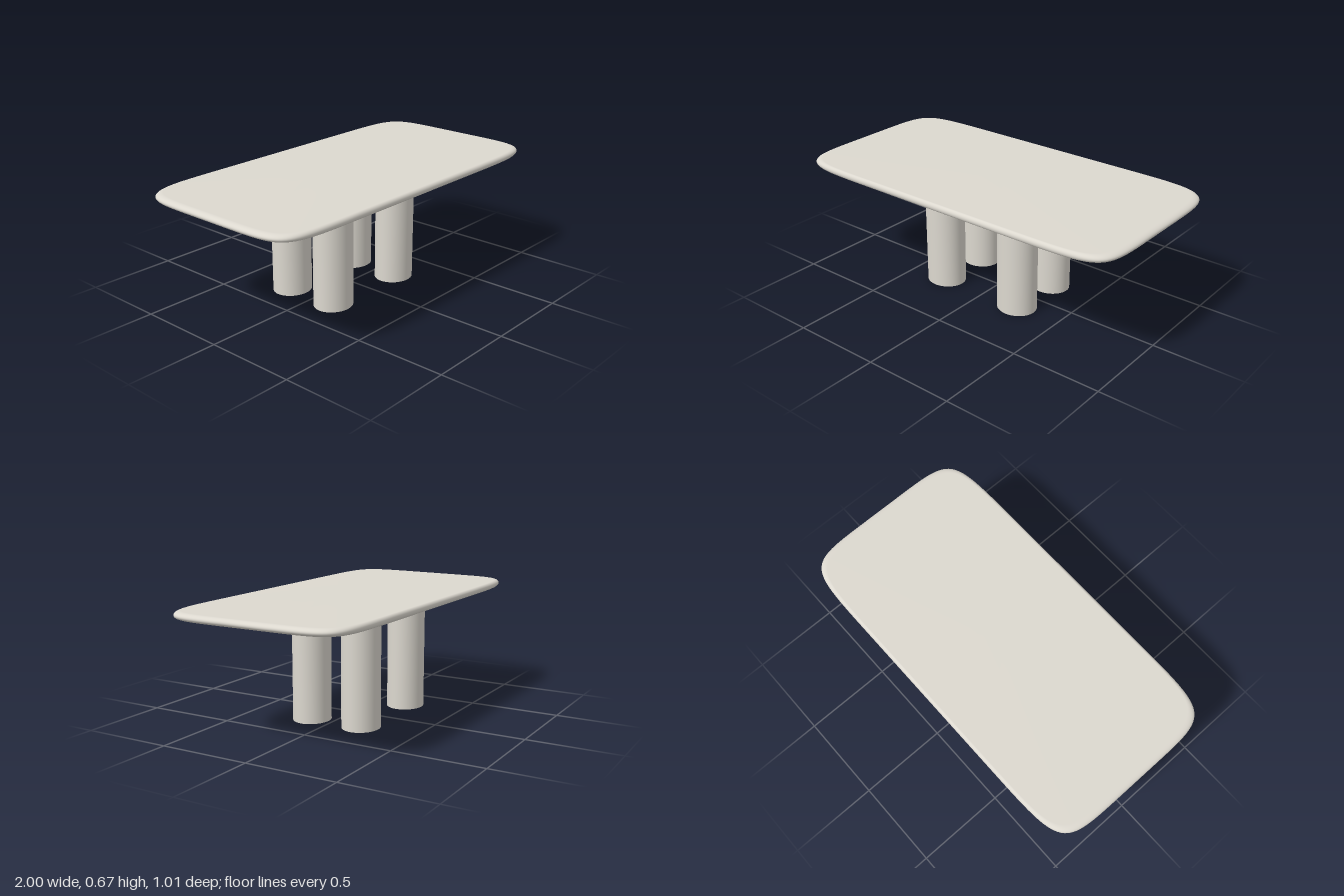
import * as THREE from 'three';

const HALF_X = 1, HALF_Z = 0.505, BOTTOM = 0.63, TOP = 0.67;

// Outline with soft, slightly squared corners, running from +x towards +z
function outline(halfX, halfZ) {
  const cornerX = 0.5, cornerZ = 0.38, steps = 24, points = [];
  [[1, 1], [-1, 1], [-1, -1], [1, -1]].forEach(([sx, sz], k) => {
    for (let i = 0; i <= steps; i++) {
      const t = k % 2 ? 1 - i / steps : i / steps;
      points.push([sx * (halfX - cornerX * t ** 3), sz * (halfZ - cornerZ * (1 - t) ** 3)]);
    }
  });
  return points;
}

// Slab skinned from stacked outlines that shrink around a rounded edge
function slabGeometry() {
  const rings = 14, insetX = 0.035, insetZ = 0.018;
  const position = [], index = [];
  let count = 0;
  for (let r = 0; r <= rings; r++) {
    const angle = -Math.PI / 2 + Math.PI * r / rings;
    const inset = 1 - Math.cos(angle);
    const y = (BOTTOM + TOP) / 2 + Math.sin(angle) * (TOP - BOTTOM) / 2;
    const loop = outline(HALF_X - insetX * inset, HALF_Z - insetZ * inset);
    count = loop.length;
    for (const [x, z] of loop) position.push(x, y, z);
  }
  const centre = position.length / 3;
  position.push(0, BOTTOM, 0, 0, TOP, 0);
  for (let i = 0; i < count; i++) {
    const j = (i + 1) % count;
    // rounded edge
    for (let r = 0; r < rings; r++) {
      const a = r * count + i, b = r * count + j;
      index.push(a, b + count, b, a, a + count, b + count);
    }
    // flat underside and top
    index.push(centre, i, j, centre + 1, rings * count + j, rings * count + i);
  }
  const geometry = new THREE.BufferGeometry();
  geometry.setAttribute('position', new THREE.Float32BufferAttribute(position, 3));
  geometry.setIndex(index);
  geometry.computeVertexNormals();
  return geometry;
}

export function createModel() {
  const group = new THREE.Group();
  group.name = 'table';
  const stone = new THREE.MeshStandardMaterial({ color: 0xdcd8cf });
  stone.name = 'warm grey stone';

  const top = new THREE.Mesh(slabGeometry(), stone);
  top.name = 'tableTop';
  group.add(top);

  // Four slightly oval column legs, set off-centre under the top
  const legGeometry = new THREE.CylinderGeometry(1, 1, BOTTOM, 64);
  legGeometry.scale(0.112, 1, 0.1015);
  legGeometry.translate(0, BOTTOM / 2, 0);
  for (const [side, x] of [['Right', -0.277], ['Left', 0.229]]) {
    for (const [end, z] of [['front', 0.127], ['back', -0.178]]) {
      const leg = new THREE.Mesh(legGeometry, stone);
      leg.name = `${end}${side}Leg`;
      leg.position.set(x, 0, z);
      group.add(leg);
    }
  }
  return group;
}
